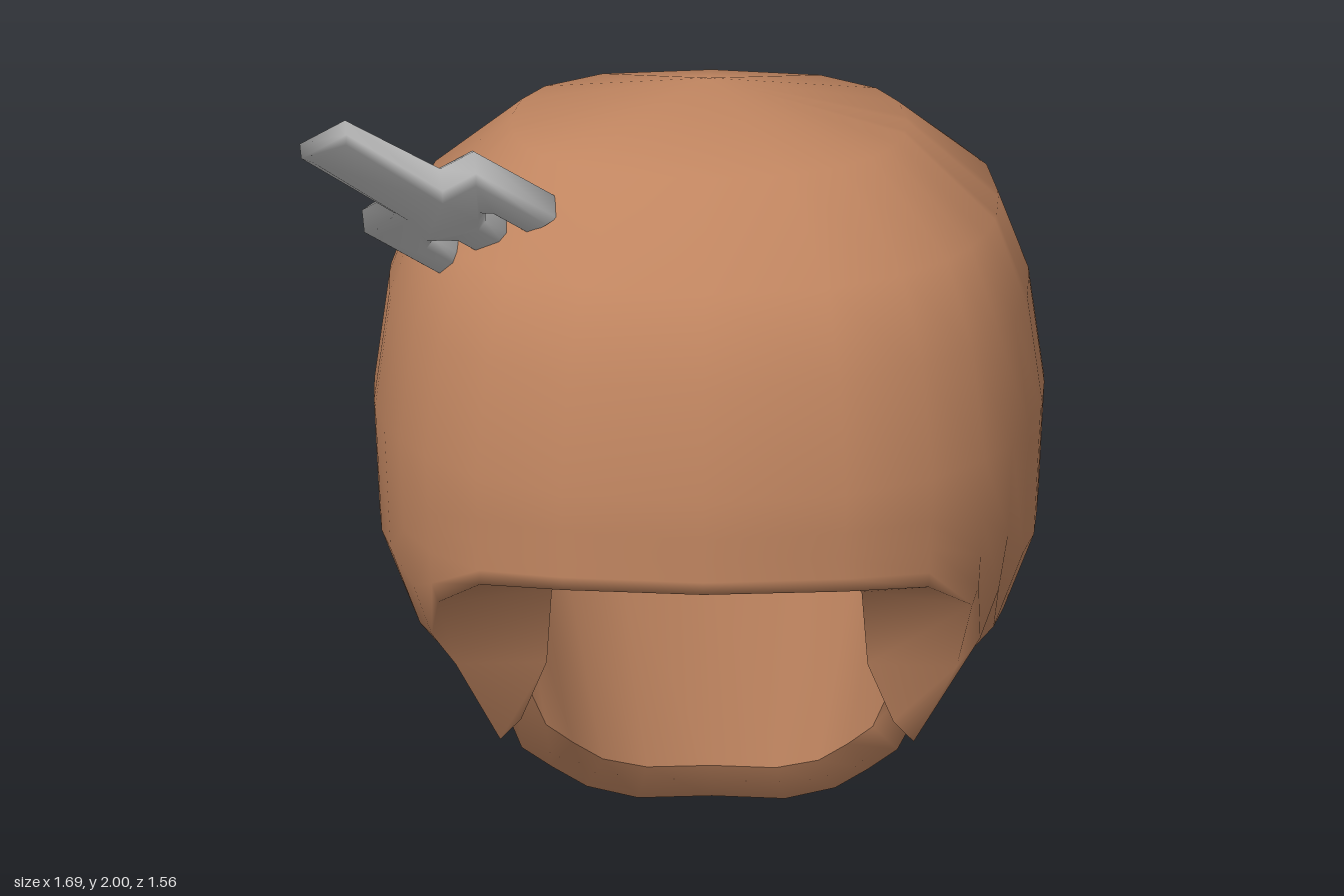
import * as THREE from 'three';
import { mergeVertices } from 'three/addons/utils/BufferGeometryUtils.js';

const CX = 0.08; // the hair sits slightly to the left of the origin

// Linear lookup in rows sorted by their first entry
function lookup(rows, t) {
  if (t <= rows[0][0]) return rows[0].slice(1);
  for (let i = 1; i < rows.length; i++) {
    if (t <= rows[i][0]) {
      const a = rows[i - 1], b = rows[i], f = (t - a[0]) / (b[0] - a[0]);
      return a.slice(1).map((v, k) => v + (b[k + 1] - v) * f);
    }
  }
  return rows[rows.length - 1].slice(1);
}

// Height: half width, depth to the back, depth to the front
const SECTIONS = [
  [0.0, 0.3, 0.39, 0.78], [0.06, 0.34, 0.44, 0.78], [0.22, 0.43, 0.56, 0.78],
  [0.36, 0.49, 0.65, 0.78], [0.47, 0.525, 0.71, 0.78], [0.64, 0.68, 0.74, 0.78],
  [0.82, 0.75, 0.76, 0.78], [1.12, 0.765, 0.78, 0.773], [1.38, 0.73, 0.73, 0.73],
  [1.57, 0.66, 0.65, 0.62], [1.765, 0.45, 0.37, 0.38],
];

// Angle from the front: hem height, inner rim scale, rim height offset
const HEM = [
  [0, 0.9, 0.66, -0.07], [23, 0.89, 0.66, -0.06], [41, 0.86, 0.56, -0.05],
  [55, 0.77, 0.58, -0.04], [65, 0.58, 0.64, -0.04], [73.5, 0.36, 0.9, 0.04],
  [82.5, 0.36, 0.92, 0.03], [85.3, 0.46, 0.86, 0], [92.5, 0.46, 0.86, 0],
  [95.5, 0.22, 0.87, 0.06], [110, 0.13, 0.87, 0.07], [127, 0.055, 0.87, 0.08],
  [152.5, 0.005, 0.88, 0.09], [180, 0.0, 0.88, 0.09],
];

// Lower rows: lowest height allowed and share of the way to the hem
const LOWER = [[0.82, 0.4], [0.64, 0.65], [0.47, 0.87]];

// Point on the cross-section at a height and angle; the back is squarer than the front
function onSection(y, deg, scale = 1) {
  const [w, back, front] = lookup(SECTIONS, y);
  const r = THREE.MathUtils.degToRad(deg), s = Math.sin(r), c = Math.cos(r);
  const p = (v) => Math.sign(v) * Math.pow(Math.abs(v), c > 0 ? 0.91 : 0.77);
  return new THREE.Vector3(CX + w * p(s) * scale, y, (c > 0 ? front : back) * p(c) * scale);
}

// Closed skin over columns of points
function skin(columns) {
  const rows = columns[0].length, n = columns.length, pos = [], index = [];
  columns.forEach((col) => col.forEach((p) => pos.push(p.x, p.y, p.z)));
  for (let c = 0; c < n; c++) {
    const a = c * rows, b = ((c + 1) % n) * rows;
    for (let r = 0; r < rows - 1; r++) {
      index.push(a + r, a + r + 1, b + r + 1, a + r, b + r + 1, b + r);
    }
  }
  const g = new THREE.BufferGeometry();
  g.setAttribute('position', new THREE.Float32BufferAttribute(pos, 3));
  g.setIndex(index);
  const welded = mergeVertices(g, 1e-5);
  welded.computeVertexNormals();
  return welded;
}

function buildHair(material) {
  const angles = HEM.map((h) => h[0]);
  const around = [...angles, ...angles.slice(1, -1).reverse().map((a) => -a)];
  const outer = [], inner = [];
  for (const deg of around) {
    const [hem, k, lift] = lookup(HEM, Math.abs(deg));
    const rim = onSection(hem, deg, k);
    rim.y += lift;

    // Crown to hem, then the thick edge turning under
    const col = [new THREE.Vector3(CX, 1.89, 0.04)];
    for (const y of [1.765, 1.57, 1.38, 1.12]) col.push(onSection(y, deg));
    for (const [low, t] of LOWER) {
      col.push(onSection(Math.max(low, 1.12 + (hem - 1.12) * t), deg));
    }
    col.push(onSection(hem, deg), rim);
    outer.push(col);

    // Cavity from the rim up to its ceiling
    const wall = onSection(1.0, deg, 0.64);
    inner.push([
      rim.clone(),
      rim.clone().lerp(wall, 0.5),
      wall,
      onSection(1.4, deg, 0.5),
      new THREE.Vector3(CX, 1.5, 0),
    ]);
  }
  const group = new THREE.Group();
  group.name = 'hair';
  const shell = new THREE.Mesh(skin(outer), material);
  shell.name = 'hairShell';
  const lining = new THREE.Mesh(skin(inner), material);
  lining.name = 'hairLining';
  group.add(shell, lining);
  return group;
}

// Three-pronged fork stuck in the hair, with soft shading and a thinner handle
function buildFork(material) {
  const half = [[0.05, 0.39], [0.05, 0.05], [0.15, 0.05], [0.15, -0.2], [0.1, -0.2],
    [0.1, -0.07], [0.08, -0.045], [0.055, -0.07], [0.03, -0.1], [0.03, -0.2]];
  const outline = [...half, ...half.map(([x, y]) => [-x, y]).reverse()];
  const shape = new THREE.Shape(outline.map(([x, y]) => new THREE.Vector2(x, y)));
  const solid = new THREE.ExtrudeGeometry(shape, {
    depth: 0.06, bevelEnabled: true, bevelSize: 0.018, bevelThickness: 0.018, bevelSegments: 1,
  });
  solid.translate(0, 0, -0.03);
  const p = solid.attributes.position;
  for (let i = 0; i < p.count; i++) if (p.getY(i) > 0.2) p.setZ(i, p.getZ(i) * 0.65);
  solid.deleteAttribute('normal');
  solid.deleteAttribute('uv');
  const g = mergeVertices(solid, 1e-4);
  g.computeVertexNormals();
  const up = new THREE.Vector3(-0.25, 0.22, 0.21).normalize();
  const side = new THREE.Vector3(0.7, 0.6, 0.39);
  side.addScaledVector(up, -side.dot(up)).normalize();
  const face = new THREE.Vector3().crossVectors(side, up);
  const fork = new THREE.Mesh(g, material);
  fork.name = 'fork';
  fork.quaternion.setFromRotationMatrix(new THREE.Matrix4().makeBasis(side, up, face));
  fork.position.set(-0.53, 1.723, 0.43);
  return fork;
}

export function createModel() {
  const brown = new THREE.MeshStandardMaterial({ color: 0xc08560 });
  brown.name = 'hair brown';
  const grey = new THREE.MeshStandardMaterial({ color: 0xbcbcbc });
  grey.name = 'fork grey';
  const model = new THREE.Group();
  model.name = 'hairWithFork';
  model.add(buildHair(brown), buildFork(grey));
  return model;
}
